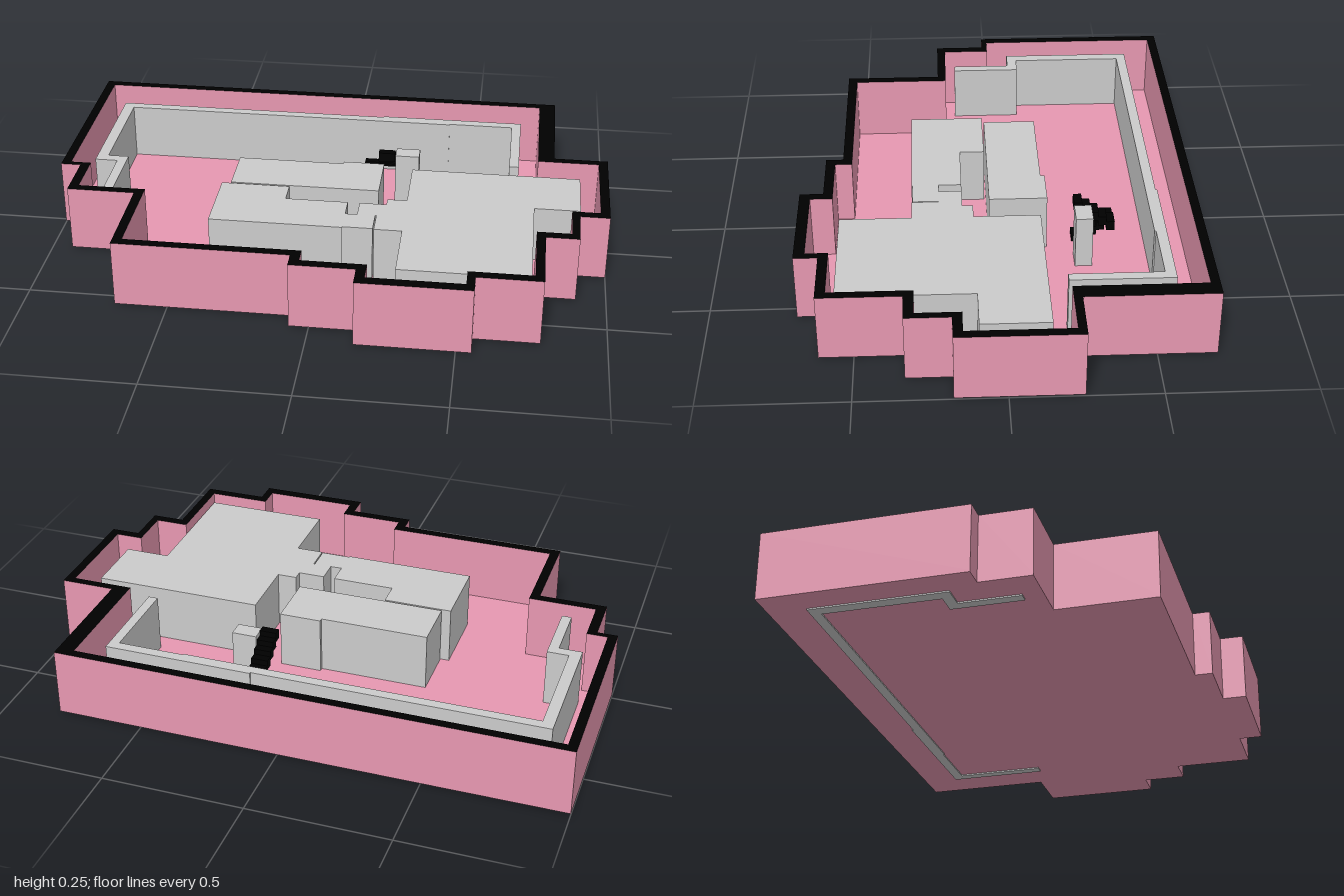
import * as THREE from 'three';

const PINK = 0xe798b1, BLACK = 0x000000, GREY = 0xcccccc;
const FLOOR = 0.01, WALL_TOP = 0.247, BLOCK_TOP = 0.22;
const mat = (color) => new THREE.MeshStandardMaterial({ color, flatShading: true });

// plan points are [x, z] pairs
const toVectors = (pts) => pts.map(([x, z]) => new THREE.Vector2(x, -z));

// raise a plan outline from y0 to y1; the hole runs opposite to the outline
function prism(name, pts, y0, y1, material, hole) {
  const shape = new THREE.Shape(toVectors(pts));
  if (hole) shape.holes.push(new THREE.Path(toVectors(hole).reverse()));
  const geo = new THREE.ExtrudeGeometry(shape, { depth: y1 - y0, bevelEnabled: false });
  geo.rotateX(-Math.PI / 2).translate(0, y0, 0);
  const mesh = new THREE.Mesh(geo, material);
  mesh.name = name;
  return mesh;
}

const rect = (x0, z0, x1, z1) => [[x0, z0], [x1, z0], [x1, z1], [x0, z1]];

const OUTER = [
  [-1, -0.7], [0.805, -0.7], [0.805, -0.246], [1, -0.246], [1, 0.176], [0.895, 0.176],
  [0.895, 0.332], [0.778, 0.332], [0.778, 0.617], [0.553, 0.617], [0.553, 0.7], [0.16, 0.7],
  [0.16, 0.617], [-0.068, 0.617], [-0.068, 0.555], [-0.683, 0.555], [-0.683, 0.203],
  [-0.927, 0.203], [-0.927, 0.02], [-1, 0.02],
];

const INNER = [
  [-0.967, -0.668], [0.745, -0.668], [0.745, -0.217], [0.967, -0.217], [0.967, 0.143],
  [0.868, 0.143], [0.868, 0.298], [0.747, 0.298], [0.747, 0.583], [0.525, 0.583],
  [0.525, 0.662], [0.193, 0.662], [0.193, 0.583], [-0.034, 0.583], [-0.034, 0.522],
  [-0.65, 0.522], [-0.65, 0.172], [-0.893, 0.172], [-0.893, 0], [-0.967, 0],
];

const PARTITION = [
  [-0.898, -0.565], [0.14, -0.565], [0.14, -0.571], [0.675, -0.571], [0.675, -0.212],
  [0.64, -0.212], [0.64, -0.534], [0.4, -0.534], [0.4, -0.529], [-0.857, -0.529],
  [-0.857, -0.117], [-0.78, -0.117], [-0.78, 0.135], [-0.815, 0.135], [-0.815, -0.08],
  [-0.898, -0.08],
];

const REAR_BLOCK = [
  [-0.363, -0.16], [0.027, -0.16], [0.027, -0.175], [0.178, -0.175], [0.178, 0.032], [-0.363, 0.032],
];

const MAIN_BLOCK = [
  [-0.395, 0.039], [-0.147, 0.039], [-0.147, 0.128], [0.077, 0.128], [0.077, 0.21],
  [0.119, 0.21], [0.119, 0.128], [0.215, 0.128], [0.215, 0.09], [0.285, 0.09],
  [0.285, -0.145], [0.9, -0.145], [0.9, 0.091], [0.737, 0.091], [0.737, 0.558],
  [0.285, 0.558], [0.285, 0.306], [0.187, 0.306], [0.187, 0.21], [0.183, 0.21],
  [0.183, 0.302], [0.077, 0.302], [0.077, 0.307], [-0.395, 0.307],
];

// two flights side by side, turning back halfway up
function makeStairs() {
  const stairs = new THREE.Group();
  stairs.name = 'stairs';
  const black = mat(BLACK);
  const steps = 5, zNear = -0.268, zFar = -0.415;
  const tread = (zNear - zFar) / steps, rise = (0.216 - FLOOR) / (steps * 2);
  for (let flight = 0; flight < 2; flight++) {
    for (let i = 0; i < steps; i++) {
      const level = flight * steps + i + 1;
      const height = rise * (level === 1 ? 1 : 1.7);
      const step = new THREE.Mesh(new THREE.BoxGeometry(0.061, height, tread), black);
      const along = (i + 0.5) * tread;
      step.position.set(
        flight ? 0.179 : 0.116,
        FLOOR + level * rise - height / 2,
        flight ? zFar + along : zNear - along,
      );
      step.name = 'step';
      stairs.add(step);
    }
  }
  return stairs;
}

export function createModel() {
  const model = new THREE.Group();
  model.name = 'floorPlan';
  const pink = mat(PINK), grey = mat(GREY), black = mat(BLACK);

  // floor slab and outer wall with a dark top
  model.add(prism('floor', OUTER, 0.005, FLOOR, pink));
  model.add(prism('outerWall', OUTER, FLOOR, WALL_TOP, [black, pink], INNER));

  // inner wall reaches just below the floor
  model.add(prism('innerWall', PARTITION, 0, BLOCK_TOP, grey));

  // solid room blocks
  model.add(prism('rearBlock', REAR_BLOCK, FLOOR, BLOCK_TOP, grey));
  model.add(prism('mainBlock', MAIN_BLOCK, FLOOR, BLOCK_TOP, grey));
  model.add(prism('pillar', rect(0.212, -0.329, 0.301, -0.268), FLOOR, 0.208, grey));

  model.add(makeStairs());
  return model;
}
